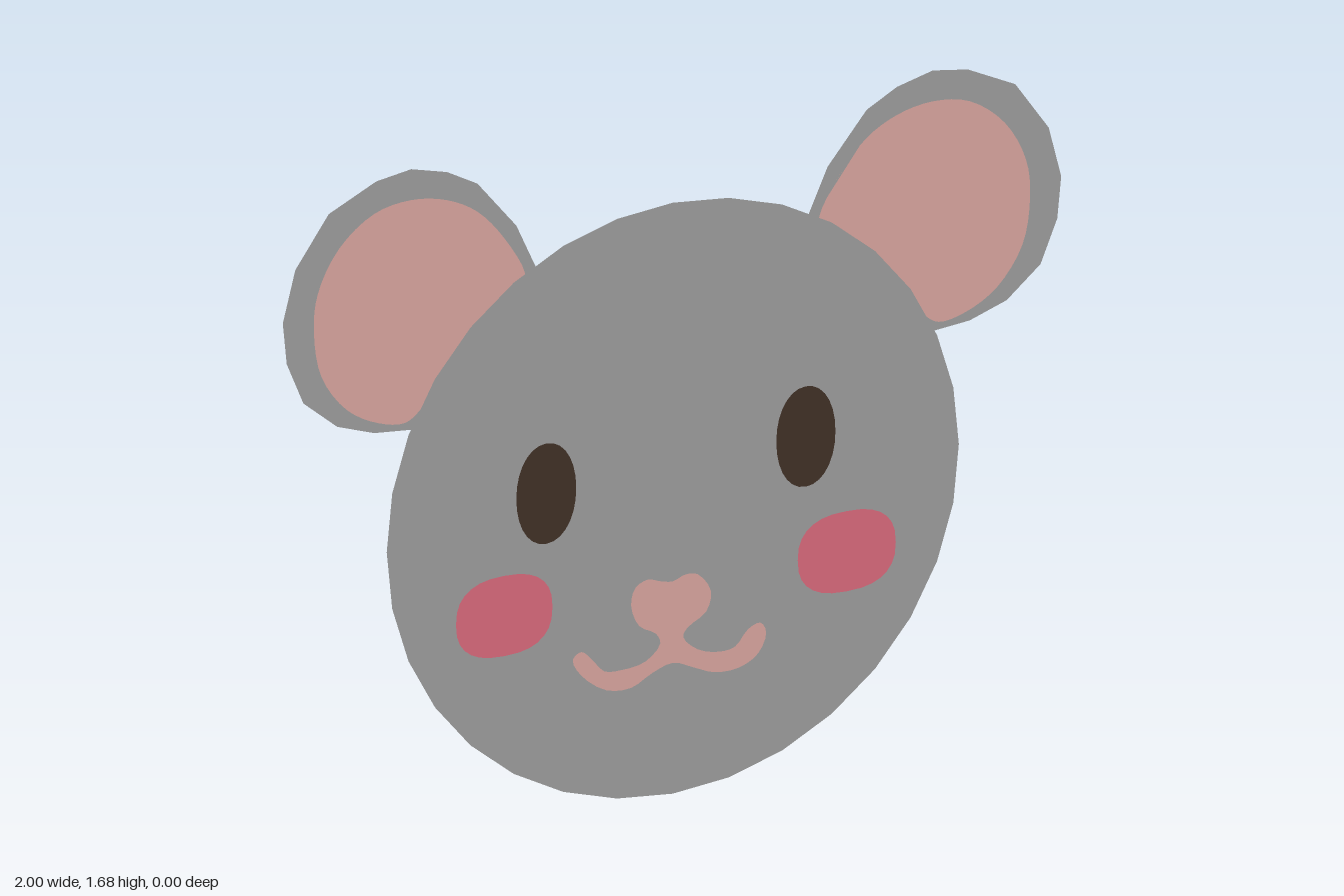
import * as THREE from 'three';

const flat = (name, color) => new THREE.MeshStandardMaterial({ name, color, side: THREE.DoubleSide });

// Pairs of numbers to points, mirrored in x when s is -1
const points = (list, s = 1) => {
  const out = [];
  for (let i = 0; i < list.length; i += 2) out.push(new THREE.Vector2(s * list[i], list[i + 1]));
  return out;
};

// Smooth closed outline through points
const smooth = (pts, n) => {
  const curve = new THREE.CatmullRomCurve3(pts.map(p => new THREE.Vector3(p.x, p.y, 0)), true, 'centripetal');
  return curve.getPoints(n).slice(0, -1).map(p => new THREE.Vector2(p.x, p.y));
};

// Rounded outline; a power above 2 makes it squarer
const oval = (cx, cy, rx, ry, n, power = 2) => Array.from({ length: n }, (_, i) => {
  const a = (i / n) * Math.PI * 2, c = Math.cos(a), s = Math.sin(a), k = 2 / power;
  return new THREE.Vector2(
    cx + rx * Math.sign(c) * Math.abs(c) ** k,
    cy + ry * Math.sign(s) * Math.abs(s) ** k);
});

// Flat sheet with openings for the inlaid colours
const sheet = (name, material, outline, openings = []) => {
  const shape = new THREE.Shape(outline);
  shape.holes = openings.map(o => new THREE.Path(o));
  const mesh = new THREE.Mesh(new THREE.ShapeGeometry(shape), material);
  mesh.name = name;
  return mesh;
};

const EAR = [0.34, 1.35, 0.35, 1.375, 0.4, 1.487, 0.5, 1.61, 0.578, 1.653, 0.67, 1.677, 0.76, 1.663,
  0.882, 1.604, 0.968, 1.48, 1, 1.353, 0.99, 1.25, 0.947, 1.144, 0.86, 1.07, 0.765, 1.037,
  0.66, 1.027, 0.645, 1.025];

const INNER_EAR = [0.378, 1.365, 0.43, 1.46, 0.5, 1.54, 0.578, 1.583, 0.67, 1.6, 0.765, 1.583,
  0.855, 1.513, 0.91, 1.41, 0.92, 1.315, 0.9, 1.2, 0.835, 1.107, 0.755, 1.06, 0.685, 1.048,
  0.645, 1.075, 0.59, 1.145, 0.5, 1.25, 0.42, 1.315, 0.382, 1.34];

const MUZZLE = [-0.107, 0.487, -0.096, 0.53, -0.064, 0.545, -0.032, 0.535, 0, 0.529, 0.032, 0.54,
  0.064, 0.535, 0.098, 0.487, 0.086, 0.438, 0.037, 0.406, 0.027, 0.385, 0.064, 0.348, 0.118, 0.332,
  0.16, 0.337, 0.193, 0.374, 0.225, 0.385, 0.24, 0.358, 0.22, 0.31, 0.171, 0.283, 0.107, 0.283,
  0.053, 0.305, 0, 0.326, -0.053, 0.31, -0.107, 0.283, -0.171, 0.289, -0.235, 0.337, -0.257, 0.38,
  -0.235, 0.396, -0.209, 0.374, -0.176, 0.337, -0.134, 0.332, -0.07, 0.342, -0.032, 0.38,
  -0.043, 0.406, -0.086, 0.433];

export function createModel() {
  const grey = flat('grey fur', 0x9c9c9c);
  const pink = flat('soft pink', 0xd9a59e);
  const rose = flat('cheek rose', 0xd9697c);
  const brown = flat('eye brown', 0x403026);

  const model = new THREE.Group();
  model.name = 'mouseFace';

  // Face features, inlaid in the head and visible from both sides
  const features = [
    ['rightEye', brown, oval(-0.325, 0.807, 0.077, 0.125, 28, 2.1)],
    ['leftEye', brown, oval(0.342, 0.827, 0.076, 0.125, 28, 2.1)],
    ['rightCheek', rose, oval(-0.433, 0.522, 0.124, 0.1, 28, 2.5)],
    ['leftCheek', rose, oval(0.447, 0.522, 0.126, 0.1, 28, 2.5)],
    ['noseAndMouth', pink, smooth(points(MUZZLE), 105)],
  ];
  const disc = oval(0, 0.736, 0.735, 0.736, 32);
  model.add(sheet('head', grey, disc, features.map(f => f[2])));
  for (const [name, material, outline] of features) model.add(sheet(name, material, outline));

  // Ears, cut straight where they tuck behind the head
  for (const [side, s] of [['left', 1], ['right', -1]]) {
    const inner = smooth(points(INNER_EAR, s), 72);
    const ear = new THREE.Group();
    ear.name = side + 'Ear';
    ear.add(sheet(side + 'EarRim', grey, points(EAR, s), [inner]));
    ear.add(sheet(side + 'InnerEar', pink, inner));
    ear.position.z = -0.004;
    model.add(ear);
  }
  return model;
}
